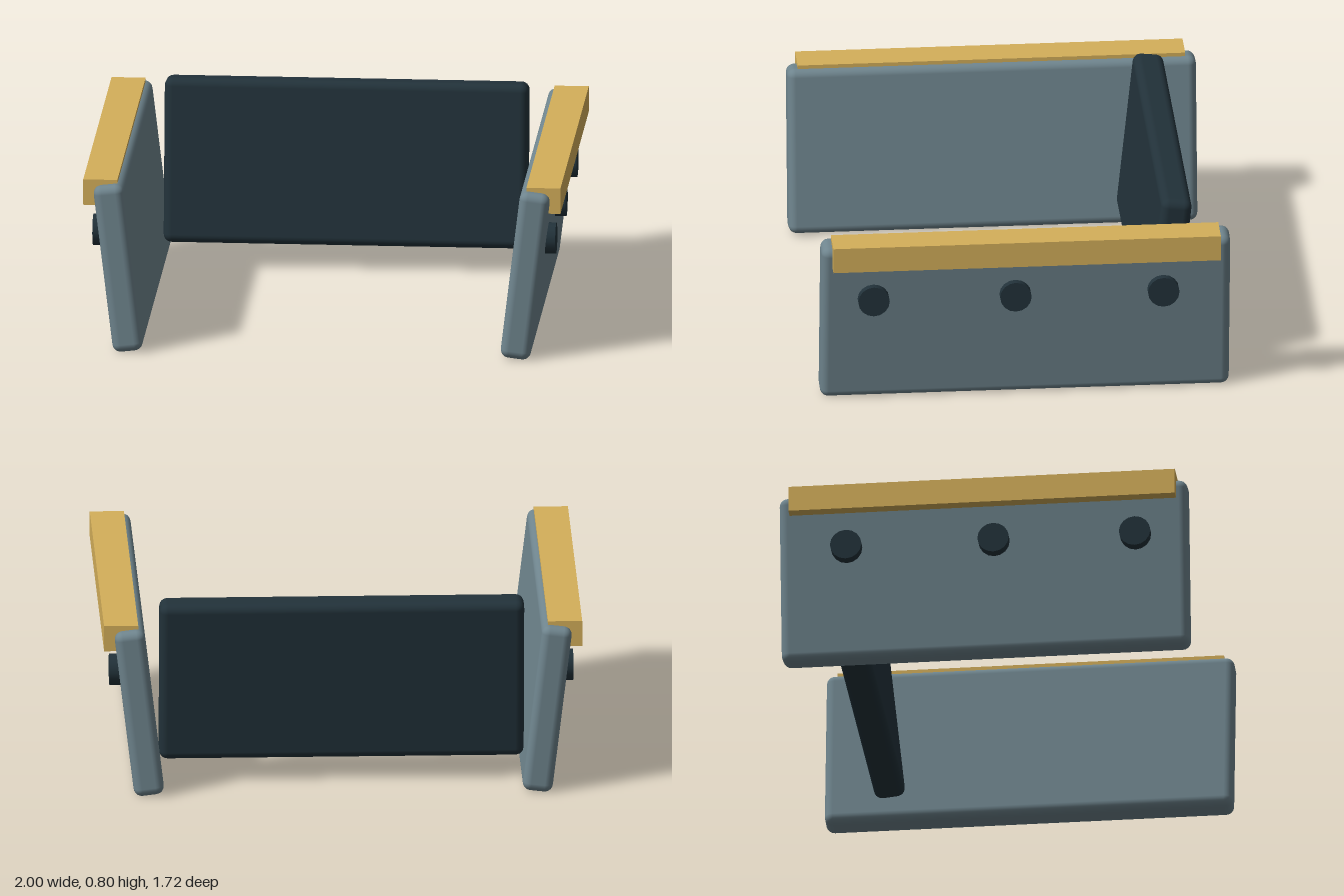
import * as THREE from 'three';
import { RoundedBoxGeometry } from 'three/addons/geometries/RoundedBoxGeometry.js';

const slate = new THREE.MeshStandardMaterial({ color: 0x6f858e });
const dark = new THREE.MeshStandardMaterial({ color: 0x22323a });
const wood = new THREE.MeshStandardMaterial({ color: 0xd4af5a });

function part(name, geometry, material, x, y, z) {
  const mesh = new THREE.Mesh(geometry, material);
  mesh.name = name;
  mesh.position.set(x, y, z);
  return mesh;
}

export function createModel() {
  const model = new THREE.Group();
  model.name = 'sideRailFrame';

  const panelGeometry = new RoundedBoxGeometry(0.127, 0.722, 1.715, 3, 0.035);
  const railGeometry = new THREE.BoxGeometry(0.143, 0.11, 1.625);
  const knobGeometry = new THREE.CylinderGeometry(0.066, 0.066, 0.1, 16).rotateZ(Math.PI / 2);

  for (const [label, s] of [['left', 1], ['right', -1]]) {
    const side = new THREE.Group();
    side.name = label + 'Side';

    // Side panel leaning outwards
    const panel = part('sidePanel', panelGeometry, slate, s * 0.853, 0.3625, 0);
    panel.rotation.z = -s * 0.12;
    side.add(panel);

    // Wooden top rail
    side.add(part('topRail', railGeometry, wood, s * 0.9285, 0.685, 0));

    // Round studs along the outer face
    for (const z of [0.64, 0.045, -0.575]) {
      side.add(part('stud', knobGeometry, dark, s * 0.92, 0.478, z));
    }
    model.add(side);
  }

  // Back panel leaning rearwards
  const back = part('backPanel', new RoundedBoxGeometry(1.525, 0.698, 0.13, 3, 0.035), dark, 0, 0.448, -0.613);
  back.rotation.x = -0.105;
  model.add(back);

  return model;
}
